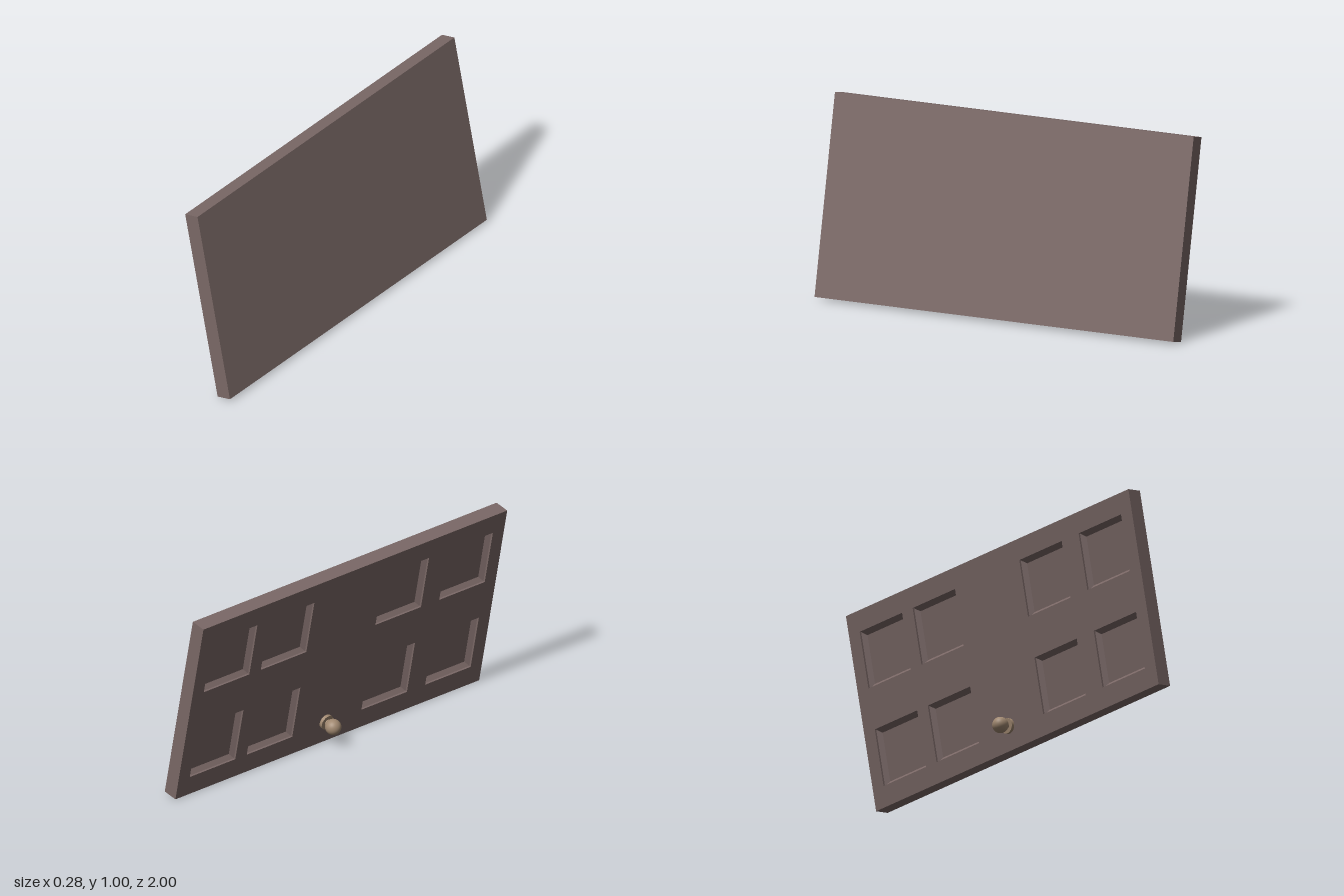
import * as THREE from 'three';

const WIDTH = 2, HEIGHT = 1, THICK = 0.078;
const RECESS = 0.03, STEP = 0.01, INSET = 0.02;
const FACE = THICK / 2;
const PANEL_W = 0.3, PANEL_H = 0.29;

// Sloped border running from the opening down to the panel floor
function bevelGeometry(w, h) {
  const ring = (a, b, z) => [[-a, -b, z], [a, -b, z], [a, b, z], [-a, b, z]];
  const outer = ring(w / 2, h / 2, FACE - STEP);
  const inner = ring(w / 2 - INSET, h / 2 - INSET, FACE - RECESS);
  const pos = [];
  for (let i = 0; i < 4; i++) {
    const j = (i + 1) % 4;
    pos.push(...outer[i], ...outer[j], ...inner[j], ...outer[i], ...inner[j], ...inner[i]);
  }
  const g = new THREE.BufferGeometry();
  g.setAttribute('position', new THREE.Float32BufferAttribute(pos, 3));
  g.computeVertexNormals();
  return g;
}

export function createModel() {
  const wood = new THREE.MeshStandardMaterial({ color: 0x7a6866 });
  const brass = new THREE.MeshStandardMaterial({ color: 0xa08870 });
  const add = (parent, name, geometry, material) => {
    const mesh = new THREE.Mesh(geometry, material);
    mesh.name = name;
    parent.add(mesh);
    return mesh;
  };

  // The slab is built facing local +z, then turned to face -x
  const door = new THREE.Group();
  door.name = 'door';
  door.rotation.y = -Math.PI / 2;

  // Solid back layer
  add(door, 'doorBack', new THREE.BoxGeometry(WIDTH, HEIGHT, THICK - RECESS), wood)
    .position.z = -RECESS / 2;

  // Front layer with eight panel openings
  const shape = new THREE.Shape([[-1, -1], [1, -1], [1, 1], [-1, 1]]
    .map(([x, y]) => new THREE.Vector2(x * WIDTH / 2, y * HEIGHT / 2)));
  const bevel = bevelGeometry(PANEL_W, PANEL_H);
  for (const x of [-0.775, -0.4, 0.355, 0.775]) {
    for (const y of [-0.25, 0.25]) {
      shape.holes.push(new THREE.Path([[-1, -1], [-1, 1], [1, 1], [1, -1]]
        .map(([a, b]) => new THREE.Vector2(x + a * PANEL_W / 2, y + b * PANEL_H / 2))));
      add(door, 'panelBevel', bevel, wood).position.set(x, y, 0);
    }
  }
  const front = new THREE.ExtrudeGeometry(shape, { depth: RECESS, bevelEnabled: false });
  add(door, 'doorFrame', front, wood).position.z = FACE - RECESS;

  // Knob on a round plate
  const knob = new THREE.Group();
  knob.name = 'knob';
  knob.position.set(-0.035, -0.378, FACE);
  knob.rotation.x = Math.PI / 2;
  add(knob, 'knobPlate', new THREE.CylinderGeometry(0.038, 0.038, 0.016, 32), brass).position.y = 0.008;
  add(knob, 'knobNeck', new THREE.CylinderGeometry(0.018, 0.018, 0.04, 24), brass).position.y = 0.025;
  add(knob, 'knobBall', new THREE.SphereGeometry(0.04, 32, 20), brass).position.y = 0.057;
  door.add(knob);

  // Lean the door on its long edge
  const lean = new THREE.Group();
  lean.name = 'leaningDoor';
  lean.add(door);
  lean.rotation.z = 0.2025;
  lean.position.y = 0.498;

  const model = new THREE.Group();
  model.name = 'panelDoor';
  model.add(lean);
  return model;
}
